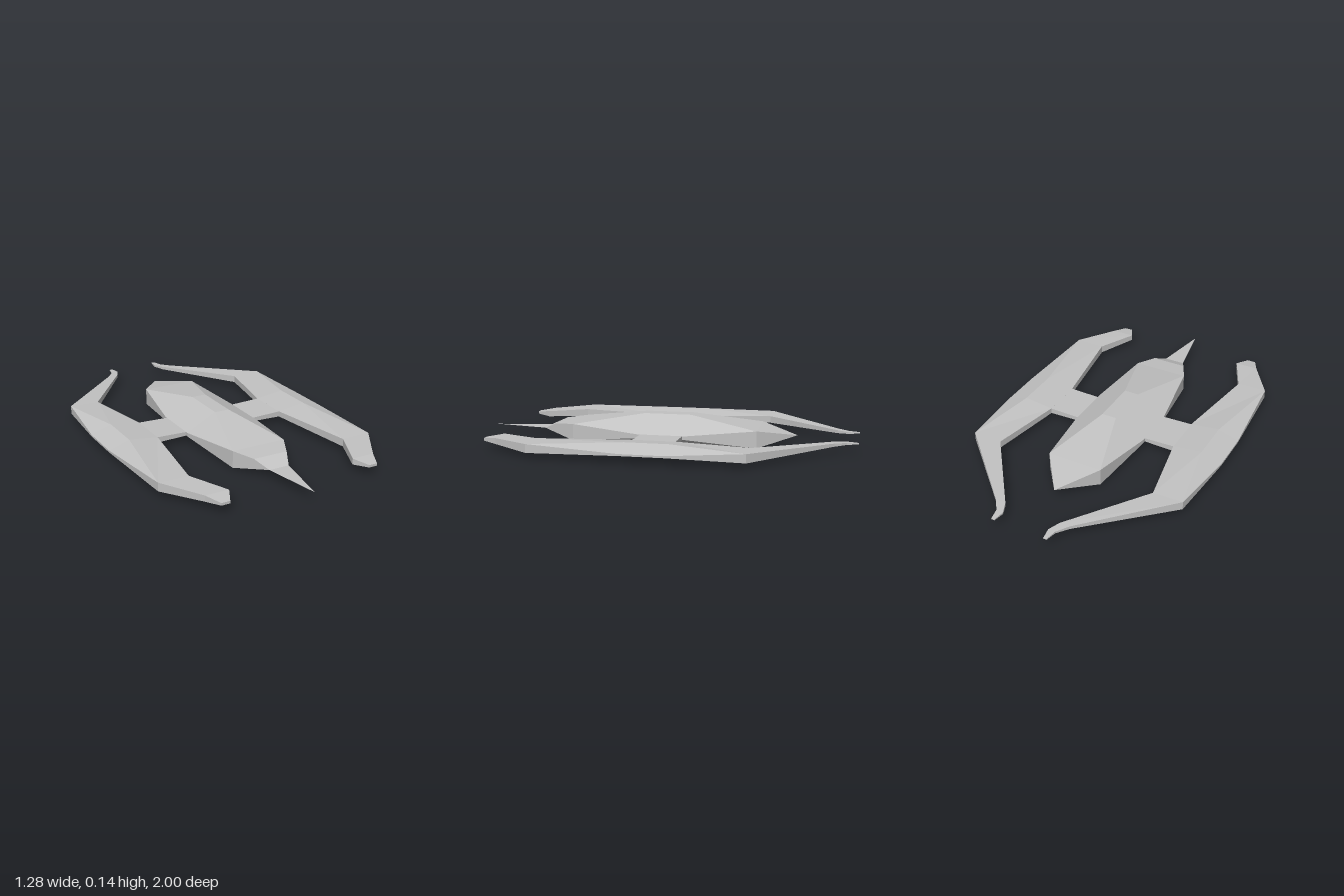
import * as THREE from 'three';

const grey = new THREE.MeshStandardMaterial({ color: 0xc2c2c2 });
grey.name = 'hullGrey';
grey.flatShading = true;
grey.side = THREE.DoubleSide;

// Skin between cross-sections [z, [[x, y], ...]]; loops run anticlockwise seen from +z
function loft(name, sections) {
  const pos = [];
  const tri = (a, b, c) => {
    const ab = b.clone().sub(a), ac = c.clone().sub(a);
    if (ab.cross(ac).length() > 1e-9) for (const p of [a, b, c]) pos.push(p.x, p.y, p.z);
  };
  const rings = sections.map(([z, loop]) => loop.map(([x, y]) => new THREE.Vector3(x, y, z)));
  const n = rings[0].length, last = rings[rings.length - 1];
  for (let i = 0; i < rings.length - 1; i++) {
    for (let j = 0; j < n; j++) {
      const k = (j + 1) % n, a = rings[i], b = rings[i + 1];
      tri(a[j], a[k], b[k]);
      tri(a[j], b[k], b[j]);
    }
  }
  for (let j = 1; j < n - 1; j++) {
    tri(last[0], last[j], last[j + 1]);
    tri(rings[0][0], rings[0][j + 1], rings[0][j]);
  }
  const geo = new THREE.BufferGeometry();
  geo.setAttribute('position', new THREE.Float32BufferAttribute(pos, 3));
  geo.computeVertexNormals();
  const mesh = new THREE.Mesh(geo, grey);
  mesh.name = name;
  return mesh;
}

// Mirror sections across x = 0, keeping the loop direction
const mirror = (sections) =>
  sections.map(([z, loop]) => [z, loop.map(([x, y]) => [-x, y]).reverse()]);

// Central hull: right half of each section, from bottom to top
function hull() {
  const half = [
    [-0.68, [[0, 0.05], [0, 0.05], [0, 0.05], [0, 0.05]]],
    [-0.48, [[0.148, 0], [0.148, 0], [0.148, 0.09], [0.148, 0.09]]],
    [-0.115, [[0.148, 0], [0.205, 0.04], [0.205, 0.06], [0.04, 0.145]]],
    [0.14, [[0.148, 0], [0.205, 0.04], [0.205, 0.06], [0.04, 0.145]]],
    [0.51, [[0.148, 0], [0.148, 0], [0.148, 0.09], [0.148, 0.09]]],
    [0.62, [[0.094, 0.026], [0.094, 0.026], [0.094, 0.08], [0.094, 0.08]]],
    [0.7, [[0.055, 0.045], [0.055, 0.045], [0.055, 0.045], [0.055, 0.045]]],
  ];
  return loft('hull', half.map(([z, h]) =>
    [z, [...h, ...h.map(([x, y]) => [-x, y]).reverse()]]));
}

// Flat pointed nose plate
function noseSpike() {
  const geo = new THREE.BufferGeometry();
  geo.setAttribute('position', new THREE.Float32BufferAttribute(
    [-0.055, 0.045, 0.7, 0, 0.045, 1, 0.055, 0.045, 0.7], 3));
  geo.computeVertexNormals();
  const mesh = new THREE.Mesh(geo, grey);
  mesh.name = 'noseSpike';
  return mesh;
}

// Side pod stations: z, inner x, outer x, inner low/high, outer low/high, ridge x/low/high
const podStations = [
  [-1, 0.135, 0.153, 0.046, 0.05, 0.046, 0.05],
  [-0.94, 0.126, 0.164, 0.043, 0.053, 0.043, 0.053],
  [-0.88, 0.152, 0.206, 0.04, 0.056, 0.04, 0.056],
  [-0.488, 0.445, 0.605, 0.028, 0.066, 0.025, 0.07],
  [-0.1, 0.37, 0.642, 0.035, 0.065, 0.04, 0.05, 0.53, 0.025, 0.085],
  [0.125, 0.37, 0.642, 0.035, 0.065, 0.04, 0.05, 0.53, 0.025, 0.085],
  [0.61, 0.445, 0.605, 0.027, 0.068, 0.025, 0.07],
  [0.82, 0.348, 0.472, 0.033, 0.064, 0.033, 0.064],
  [0.9, 0.388, 0.434, 0.04, 0.053, 0.04, 0.053],
];
const podSections = podStations.map(([z, xi, xo, il, ih, ol, oh, rx = xo, rl = ol, rh = oh]) =>
  [z, [[xo, ol], [xo, oh], [rx, rh], [xi, ih], [xi, il], [rx, rl]]]);

// Strut joining hull and pod
const strutSections = [-0.1, 0.125].map((z) =>
  [z, [[0.2, 0.04], [0.372, 0.035], [0.372, 0.065], [0.2, 0.06]]]);

export function createModel() {
  const model = new THREE.Group();
  model.name = 'spacecraft';
  model.add(hull(), noseSpike());
  model.add(loft('leftPod', podSections), loft('rightPod', mirror(podSections)));
  model.add(loft('leftStrut', strutSections), loft('rightStrut', mirror(strutSections)));
  return model;
}
